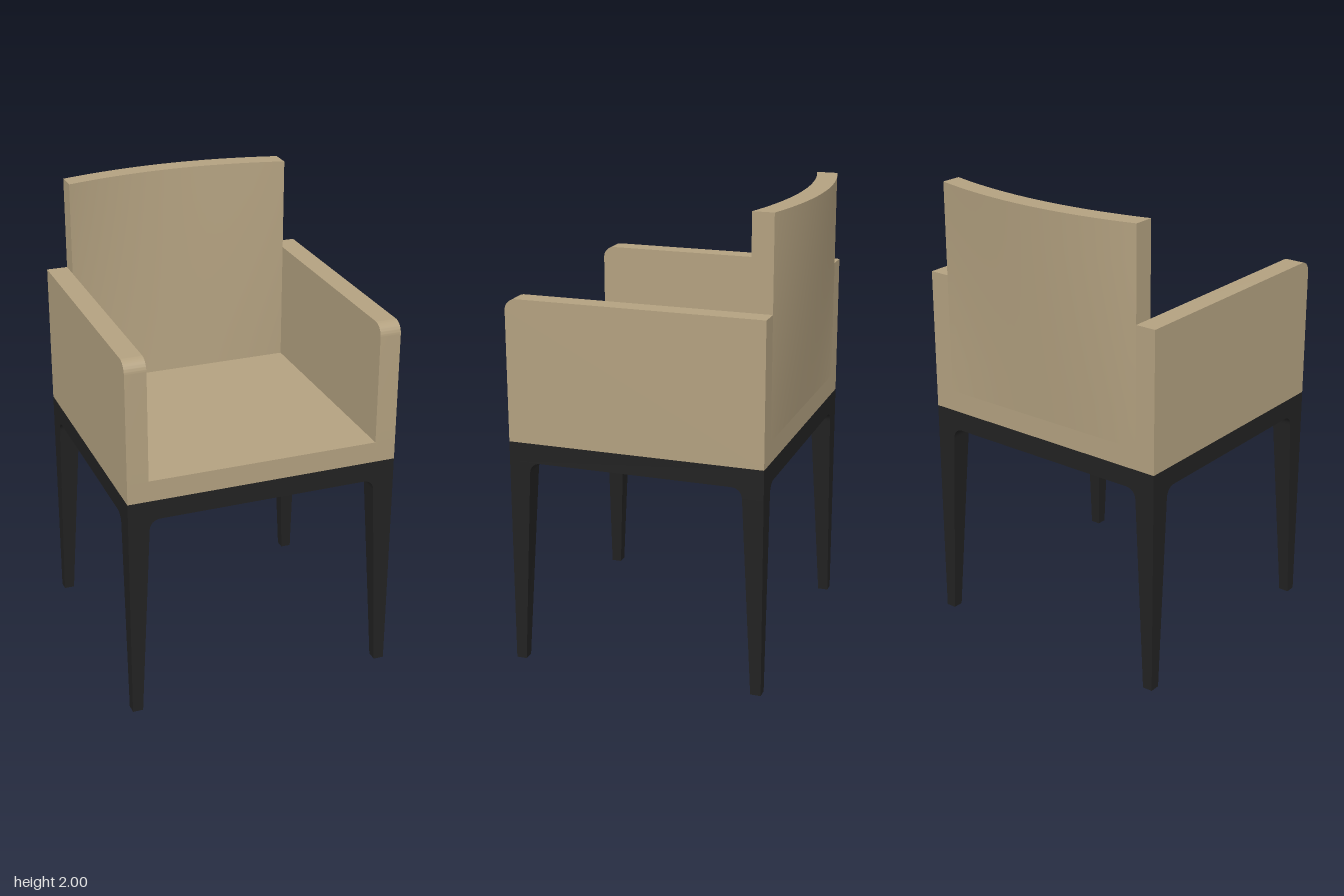
import * as THREE from 'three';
import { toCreasedNormals } from 'three/addons/utils/BufferGeometryUtils.js';

const X = 0.584, FRONT = 0.584, REAR = -0.518, T = 0.09; // outline and panel thickness
const BASE = 0.905, SEAT = 0.99, CUSHION = 1.08, ARM = 1.6, TOP = 2;
const DEPTH = FRONT - REAR, MID = (FRONT + REAR) / 2;

export function createModel() {
  const fabric = new THREE.MeshStandardMaterial({ color: 0xb3a180 });
  fabric.name = 'tanFabric';
  const wood = new THREE.MeshStandardMaterial({ color: 0x222222 });
  wood.name = 'blackWood';

  const chair = new THREE.Group();
  chair.name = 'armchair';
  const add = (name, geometry, material) => {
    const mesh = new THREE.Mesh(geometry, material);
    mesh.name = name;
    chair.add(mesh);
    return mesh;
  };

  // Frame under the seat
  add('apron', new THREE.BoxGeometry(2 * X, SEAT - BASE, DEPTH), wood)
    .position.set(0, (SEAT + BASE) / 2, MID);

  // Seat pad between the arms
  add('seat', new THREE.BoxGeometry(2 * (X - T), CUSHION - SEAT, DEPTH), fabric)
    .position.set(0, (CUSHION + SEAT) / 2, MID);

  // Tapered legs, flaring into the apron on their two inner sides
  const leg = legGeometry();
  const corners = [['frontLeftLeg', X, FRONT], ['backLeftLeg', X, REAR],
    ['backRightLeg', -X, REAR], ['frontRightLeg', -X, FRONT]];
  corners.forEach(([name, x, z], i) => {
    const mesh = add(name, leg, wood);
    mesh.position.set(x, 0, z);
    mesh.rotation.y = i * Math.PI / 2;
  });

  // Arm panels with a rounded upper front edge
  const arm = armGeometry();
  add('leftArm', arm, fabric).position.x = X;
  add('rightArm', arm, fabric).position.x = -X + T;

  // Backrest, bowing rearwards towards the top
  add('backrest', backGeometry(), fabric);
  return chair;
}

// Square sections [height, width] with the outer corner at the origin
function legGeometry() {
  const sections = [[0, 0.045], [0.86, 0.09]];
  const r = 0.045;
  for (let i = 1; i <= 6; i++) {
    const a = i / 6 * Math.PI / 2;
    sections.push([BASE - r + r * Math.sin(a), T + r * (1 - Math.cos(a))]);
  }
  const n = sections.length - 1;
  const g = new THREE.BoxGeometry(1, 1, 1, 1, n, 1);
  const p = g.attributes.position;
  for (let i = 0; i < p.count; i++) {
    const [y, w] = sections[Math.round((p.getY(i) + 0.5) * n)];
    p.setXYZ(i, p.getX(i) > 0 ? 0 : -w, y, p.getZ(i) > 0 ? 0 : -w);
  }
  return toCreasedNormals(g, 0.6);
}

// Side profile extruded across the panel thickness, towards -x
function armGeometry() {
  const r = 0.05;
  const s = new THREE.Shape();
  s.moveTo(REAR, SEAT);
  s.lineTo(FRONT, SEAT);
  s.lineTo(FRONT, ARM - r);
  s.absarc(FRONT - r, ARM - r, r, 0, Math.PI / 2, false);
  s.lineTo(REAR, ARM);
  const g = new THREE.ExtrudeGeometry(s, { depth: T, bevelEnabled: false, curveSegments: 10 });
  g.rotateY(-Math.PI / 2);
  return toCreasedNormals(g, 0.6);
}

// Flat at the seat, curved at the top
function backGeometry() {
  const half = X - T, h = TOP - CUSHION, bow = 0.066;
  const g = new THREE.BoxGeometry(2 * half, h, T, 28, 6, 1);
  g.translate(0, CUSHION + h / 2, REAR + T / 2);
  const p = g.attributes.position;
  for (let i = 0; i < p.count; i++) {
    const u = p.getX(i) / half, t = (p.getY(i) - CUSHION) / h;
    p.setZ(i, p.getZ(i) - bow * t * (1 - u * u));
  }
  g.computeVertexNormals();
  return g;
}
